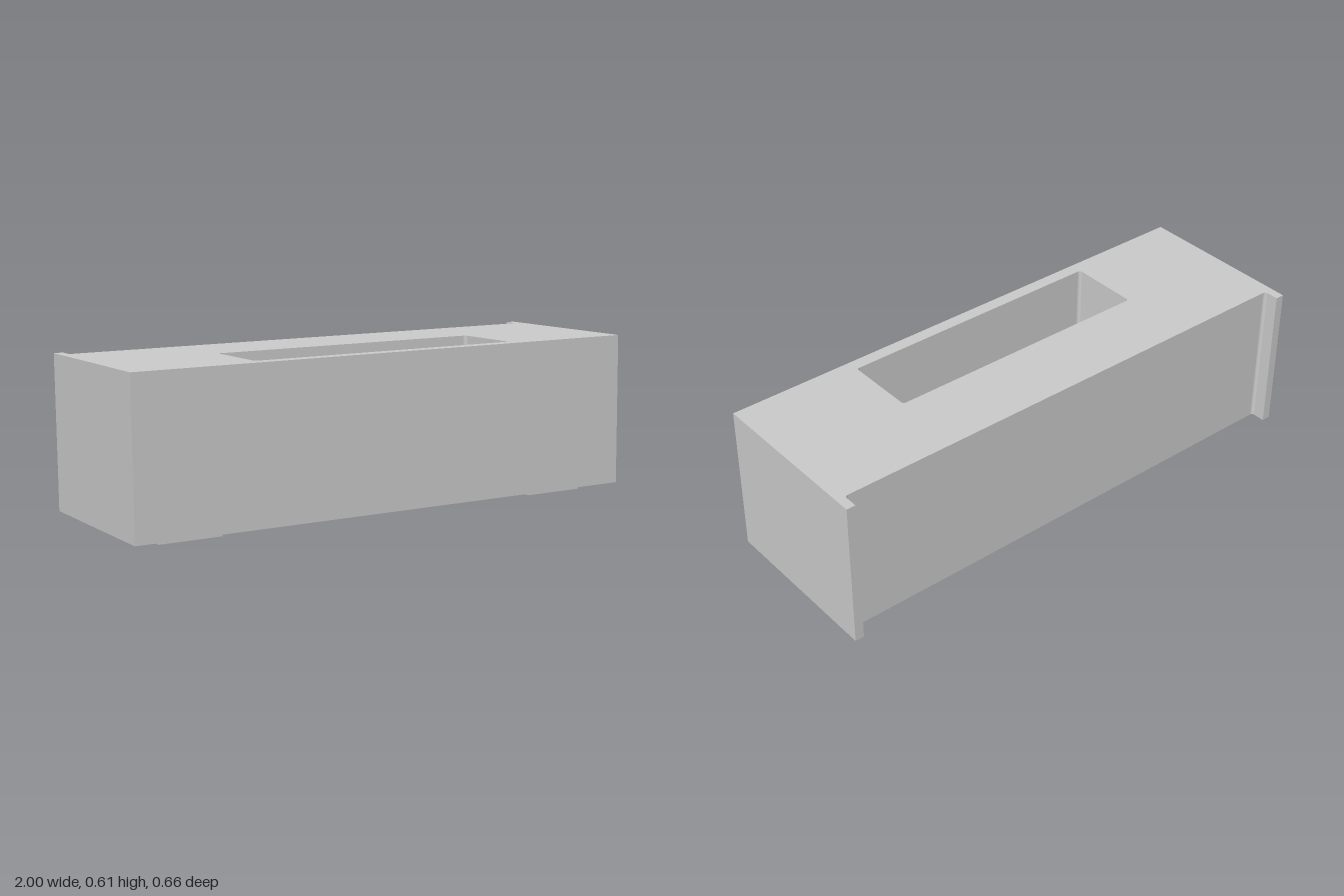
import * as THREE from 'three';

const TILT = 0.01;
const LENGTH = 1.994, HEIGHT = 0.565;
const FRONT = 0.331, BACK = -0.273, FLANGE_BACK = -0.331;

// Rounded rectangle path for the slot (shape y = -z)
function slotPath(x0, x1, y0, y1, r) {
  const p = new THREE.Path();
  p.moveTo(x0 + r, y0);
  p.lineTo(x1 - r, y0);
  p.absarc(x1 - r, y0 + r, r, -Math.PI / 2, 0);
  p.lineTo(x1, y1 - r);
  p.absarc(x1 - r, y1 - r, r, 0, Math.PI / 2);
  p.lineTo(x0 + r, y1);
  p.absarc(x0 + r, y1 - r, r, Math.PI / 2, Math.PI);
  p.lineTo(x0, y0 + r);
  p.absarc(x0 + r, y0 + r, r, Math.PI, Math.PI * 1.5);
  return p;
}

export function createModel() {
  const model = new THREE.Group();
  model.name = 'slottedHousing';
  const grey = new THREE.MeshStandardMaterial({ color: 0xcccccc });

  // Everything leans slightly, rising towards +x
  const tilted = new THREE.Group();
  tilted.name = 'tiltedAssembly';
  tilted.rotation.z = TILT;
  tilted.position.set(0.0028, 0.034, 0);
  model.add(tilted);

  // Plan outline: block with two rear end flanges, filleted where they meet
  const h = LENGTH / 2, t = 0.034, f = 0.012, flange = h - t;
  const outline = new THREE.Shape();
  outline.moveTo(-h, -FRONT);
  outline.lineTo(h, -FRONT);
  outline.lineTo(h, -FLANGE_BACK);
  outline.lineTo(flange, -FLANGE_BACK);
  outline.lineTo(flange, -BACK + f);
  outline.absarc(flange - f, -BACK + f, f, 0, -Math.PI / 2, true);
  outline.lineTo(-flange + f, -BACK);
  outline.absarc(-flange + f, -BACK + f, f, -Math.PI / 2, -Math.PI, true);
  outline.lineTo(-flange, -FLANGE_BACK);
  outline.lineTo(-h, -FLANGE_BACK);
  outline.closePath();
  outline.holes.push(slotPath(-0.525, 0.52, -0.283, -0.012, 0.012));

  const bodyGeometry = new THREE.ExtrudeGeometry(outline, {
    depth: HEIGHT, bevelEnabled: false, curveSegments: 6,
  });
  bodyGeometry.rotateX(-Math.PI / 2);
  const body = new THREE.Mesh(bodyGeometry, grey);
  body.name = 'body';
  tilted.add(body);

  // Staple-shaped handles under the body
  const drop = 0.025, barHeight = 0.009, width = 0.02, span = 0.235;
  const barGeometry = new THREE.BoxGeometry(span, barHeight, width);
  const postGeometry = new THREE.CylinderGeometry(0.012, 0.009, drop - barHeight + 0.004, 16);
  const handles = [[-0.76, 0.243], [-0.277, -0.047], [0.255, -0.047], [0.758, 0.243]];
  handles.forEach(([x, z], i) => {
    const handle = new THREE.Group();
    handle.name = `handle${i + 1}`;
    handle.position.set(x, 0, z);
    const bar = new THREE.Mesh(barGeometry, grey);
    bar.name = 'handleBar';
    bar.position.y = -drop + barHeight / 2;
    handle.add(bar);
    for (const side of [-1, 1]) {
      const post = new THREE.Mesh(postGeometry, grey);
      post.name = 'handlePost';
      post.position.set(side * (span / 2 - 0.011), -(drop - barHeight) / 2, 0);
      handle.add(post);
    }
    tilted.add(handle);
  });

  return model;
}
